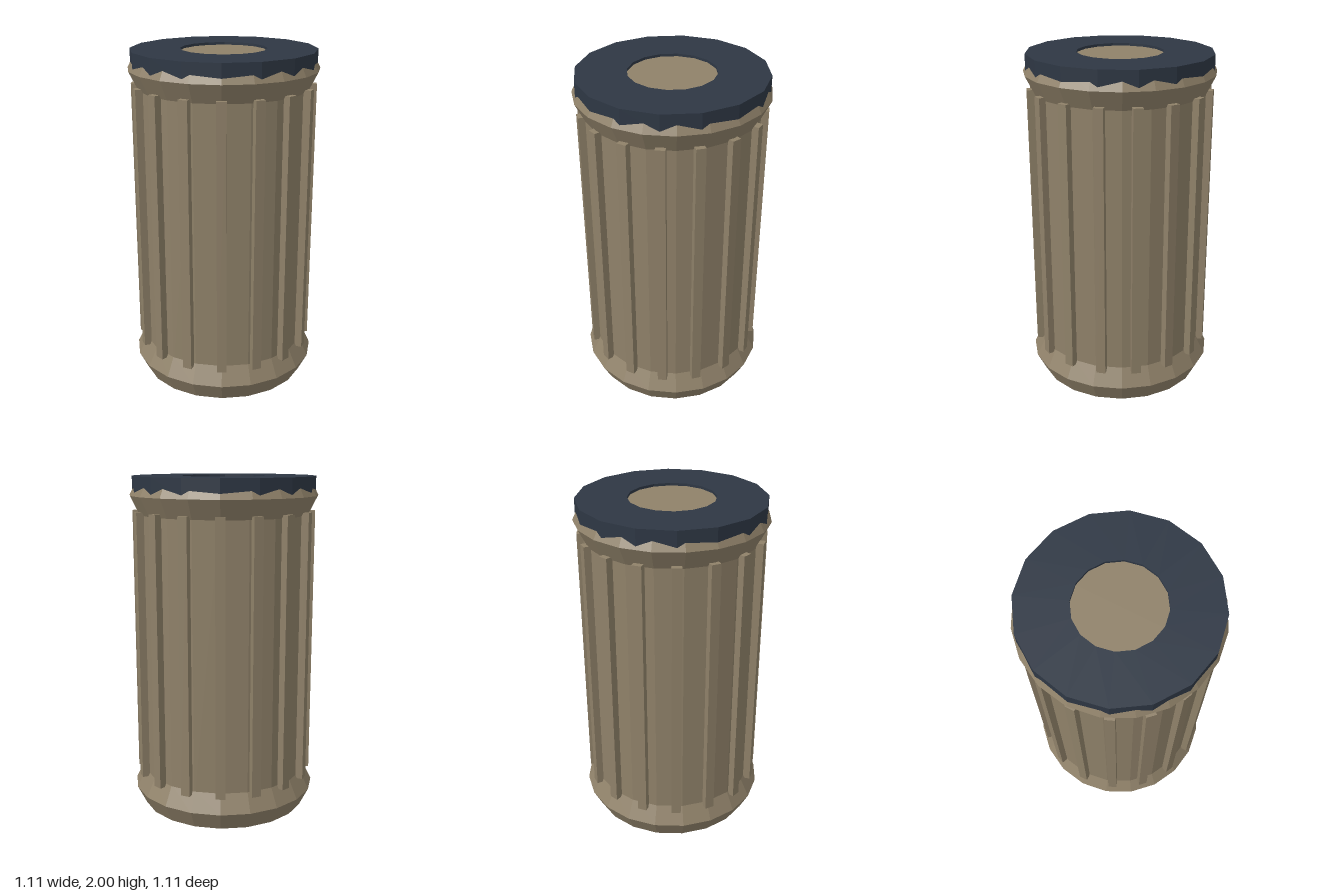
import * as THREE from 'three';

const tan = new THREE.MeshStandardMaterial({ color: 0x8f8169, flatShading: true });
tan.name = 'weathered tan';
const navy = new THREE.MeshStandardMaterial({ color: 0x2e3744, flatShading: true });
navy.name = 'dark slate blue';

function add(group, name, geometry, material) {
  const mesh = new THREE.Mesh(geometry, material);
  mesh.name = name;
  group.add(mesh);
  return mesh;
}

// Faceted solid of revolution from [radius, height] pairs, bottom to top
function turned(points, sides) {
  return new THREE.LatheGeometry(points.map(([r, y]) => new THREE.Vector2(r, y)), sides);
}

export function createModel() {
  const bin = new THREE.Group();
  bin.name = 'litterBin';

  // Barrel between the two rims
  const barrel = add(bin, 'barrel', new THREE.CylinderGeometry(0.5, 0.5, 1.7, 20, 1, true), tan);
  barrel.position.y = 1;

  // Flared rims at the foot and the top
  add(bin, 'bottomRim', turned([[0, 0], [0.5, 0], [0.555, 0.11], [0.495, 0.23]], 20), tan);
  add(bin, 'topRim', turned([[0.495, 1.77], [0.555, 1.89], [0.505, 1.99]], 20), tan);

  // Upright slats around the barrel
  const slats = new THREE.Group();
  slats.name = 'slats';
  const slatGeometry = new THREE.BoxGeometry(0.055, 1.6, 0.06);
  for (let i = 0; i < 16; i++) {
    const a = (i / 16) * Math.PI * 2;
    const slat = add(slats, 'slat', slatGeometry, tan);
    slat.position.set(Math.sin(a) * 0.507, 1, Math.cos(a) * 0.507);
    slat.rotation.y = a;
  }
  bin.add(slats);

  // Lid ring with a round opening
  add(bin, 'lid', turned([[0.25, 1.9], [0.54, 1.9], [0.54, 2], [0.25, 2], [0.25, 1.9]], 16), navy);

  // Shallow panel closing the opening
  const panel = add(bin, 'openingPanel', new THREE.CylinderGeometry(0.26, 0.26, 0.04, 16), tan);
  panel.position.y = 1.965;

  return bin;
}
